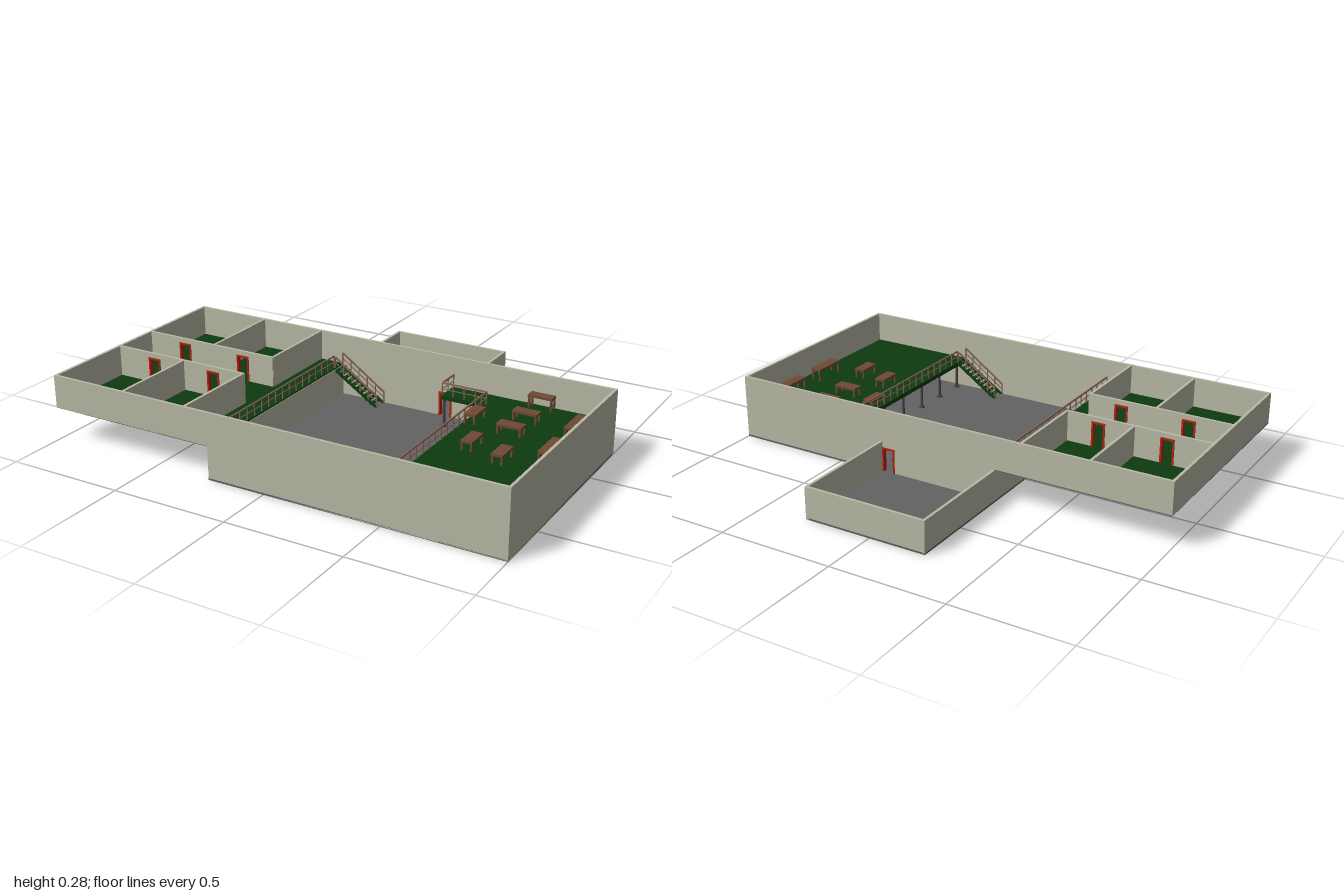
import * as THREE from 'three';

const mat = (name, color) => {
  const m = new THREE.MeshStandardMaterial({ color });
  m.name = name;
  return m;
};

export function createModel() {
  const wallMat = mat('pale plaster', 0xb9b9a6);
  const concrete = mat('grey concrete', 0x636363);
  const green = mat('dark green floor', 0x0d3b0e);
  const wood = mat('brown wood', 0x6f4a33);
  const red = mat('red door frame', 0xb8200f);
  const railMat = mat('rail brown', 0x8a6456);
  const steel = mat('dark steel', 0x48484c);

  const root = new THREE.Group();
  const T = 0.012;   // wall thickness
  const UP = 0.14;   // upper floor level
  const TOP = 0.28;  // wall top

  const group = (name, parent = root) => {
    const g = new THREE.Group();
    g.name = name;
    parent.add(g);
    return g;
  };
  // box given by its minimum and maximum corners
  const box = (name, m, x0, x1, y0, y1, z0, z1, parent = root) => {
    const mesh = new THREE.Mesh(new THREE.BoxGeometry(x1 - x0, y1 - y0, z1 - z0), m);
    mesh.position.set((x0 + x1) / 2, (y0 + y1) / 2, (z0 + z1) / 2);
    mesh.name = name;
    parent.add(mesh);
    return mesh;
  };
  // square bar between two points
  const bar = (name, m, a, b, w, parent) => {
    const p = new THREE.Vector3(...a), q = new THREE.Vector3(...b);
    const mesh = new THREE.Mesh(new THREE.BoxGeometry(w, w, p.distanceTo(q)), m);
    mesh.position.copy(p).add(q).multiplyScalar(0.5);
    mesh.lookAt(q);
    mesh.name = name;
    parent.add(mesh);
  };
  // upright wall along x, cut from an outline
  const outlineWall = (name, pts, z0) => {
    const shape = new THREE.Shape(pts.map(p => new THREE.Vector2(...p)));
    const geo = new THREE.ExtrudeGeometry(shape, { depth: T, bevelEnabled: false });
    const mesh = new THREE.Mesh(geo, wallMat);
    mesh.position.z = z0;
    mesh.name = name;
    root.add(mesh);
  };

  const DW = 0.03, DH = 0.11; // door half width and height
  const notch = (x, y) => [[x - DW, y], [x - DW, y + DH], [x + DW, y + DH], [x + DW, y]];
  const doorFrame = (x, y, z) => {
    const g = group('doorFrame');
    const f = 0.008, d = T / 2 + 0.003;
    for (const s of [-1, 1]) {
      const c = x + s * (DW - f / 2);
      box('doorPost', red, c - f / 2, c + f / 2, y, y + DH, z - d, z + d, g);
    }
    box('doorHead', red, x - DW, x + DW, y + DH - f, y + DH, z - d, z + d, g);
  };

  // floors
  box('hallFloor', concrete, -0.25, 1, 0, 0.008, -0.25, 0.75);
  box('annexFloor', concrete, -0.25, 0.29, 0, 0.008, -0.75, -0.25);
  box('wingSlab', concrete, -1, -0.25, UP, UP + 0.004, -0.25, 0.75);
  box('wingFloor', green, -1 + T, -0.245, UP + 0.004, UP + 0.01, -0.25 + T, 0.75 - T);

  // outer walls
  const doorX = 0.255;
  outlineWall('frontWall', [[-1, UP], [-0.25, UP], [-0.25, 0], [1, 0], [1, TOP], [-1, TOP]], 0.75 - T);
  outlineWall('backWall', [[-1, UP], [-0.25, UP], [-0.25, 0], ...notch(doorX, 0), [1, 0], [1, TOP], [-1, TOP]], -0.25);
  doorFrame(doorX, 0.005, -0.25 + T / 2);
  box('leftWall', wallMat, 1 - T, 1, 0, TOP, -0.25, 0.75);
  box('rightWall', wallMat, -1, -1 + T, UP, TOP, -0.25, 0.75);
  box('hallSideWall', wallMat, -0.25, -0.25 + T / 2, 0, UP + 0.003, -0.25, 0.75);
  box('annexBackWall', wallMat, -0.25, 0.29 + T / 2, 0, UP, -0.75, -0.75 + T);
  box('annexSideWall', wallMat, -0.25, -0.25 + T, 0, UP, -0.75, -0.25);
  box('annexSideWall', wallMat, 0.29 - T / 2, 0.29 + T / 2, 0, UP, -0.75, -0.25);

  // rooms on both sides of the corridor
  for (const z of [0.14, 0.35]) {
    const y = UP + 0.01;
    outlineWall('corridorWall', [[-1, y], ...notch(-0.805, y), ...notch(-0.505, y), [-0.355, y], [-0.355, TOP], [-1, TOP]], z - T / 2);
    for (const x of [-0.805, -0.505]) doorFrame(x, y, z);
  }
  for (const x of [-0.658, -0.36]) {
    box('roomPartition', wallMat, x - T / 2, x + T / 2, UP, TOP - 0.001, -0.25, 0.14);
    box('roomPartition', wallMat, x - T / 2, x + T / 2, UP, TOP - 0.001, 0.35, 0.75);
  }

  // mezzanine and its columns
  const M = UP + 0.008;
  box('mezzanineFloor', green, 0.49, 1 - T, UP - 0.01, M, -0.25 + T, 0.75 - T);
  box('mezzanineBalcony', green, 0.29, 0.49, UP - 0.01, M, -0.25 + T, -0.13);
  const columns = [[0.3, -0.14], [0.52, -0.05], [0.52, 0.1], [0.52, 0.25], [0.52, 0.4], [0.52, 0.55], [0.52, 0.7]];
  for (const [x, z] of columns) {
    const g = group('column');
    const shaft = new THREE.Mesh(new THREE.CylinderGeometry(0.006, 0.006, UP - 0.01, 10), steel);
    shaft.position.set(x, (UP - 0.01) / 2, z);
    shaft.name = 'columnShaft';
    g.add(shaft);
    box('columnBase', steel, x - 0.01, x + 0.01, 0.008, 0.014, z - 0.01, z + 0.01, g);
  }

  // railings: posts, top rail and middle rail between two floor points
  const railing = (name, a, b, h = 0.055) => {
    const g = group(name);
    const p = new THREE.Vector3(...a), q = new THREE.Vector3(...b);
    const n = Math.max(2, Math.round(p.distanceTo(q) / 0.05));
    for (let i = 0; i <= n; i++) {
      const c = p.clone().lerp(q, i / n);
      box('railPost', railMat, c.x - 0.002, c.x + 0.002, c.y, c.y + h, c.z - 0.002, c.z + 0.002, g);
    }
    for (const k of [1, 0.5]) {
      bar('handrail', railMat, [a[0], a[1] + h * k, a[2]], [b[0], b[1] + h * k, b[2]], k === 1 ? 0.006 : 0.003, g);
    }
  };
  railing('wingRailing', [-0.25, M, -0.17], [-0.25, M, 0.735]);
  railing('mezzanineRailing', [0.493, M, -0.133], [0.493, M, 0.665]);
  railing('balconyFrontRailing', [0.293, M, -0.133], [0.493, M, -0.133]);
  railing('balconySideRailing', [0.293, M, -0.235], [0.293, M, -0.133]);

  // open stairs descending along x from xTop to xLow
  const stairs = (xTop, xLow, z0, z1) => {
    const g = group('stairs');
    const n = 11, dx = (xLow - xTop) / n;
    for (let i = 0; i < n; i++) {
      const y = M - (i + 0.5) * (M / n), x = xTop + dx * (i + 0.5), w = Math.abs(dx) * 0.46;
      box('tread', green, x - w, x + w, y - 0.005, y, z0, z1, g);
    }
    for (const z of [z0 + 0.003, z1 - 0.003]) {
      bar('stringer', green, [xTop, M - 0.01, z], [xLow, 0.006, z], 0.009, g);
      railing('stairRailing', [xTop, M, z], [xLow, 0.008, z], 0.05);
    }
  };
  stairs(-0.245, -0.04, -0.237, -0.17);
  stairs(0.49, 0.29, 0.667, 0.737);

  // tables: x0, x1, z0, z1, height
  const tables = [
    [0.645, 0.75, -0.237, -0.195, 0.055], [0.645, 0.75, -0.09, -0.045, 0.042],
    [0.645, 0.75, 0.055, 0.105, 0.042], [0.495, 0.545, -0.02, 0.08, 0.042],
    [0.597, 0.645, 0.212, 0.312, 0.042], [0.745, 0.793, 0.265, 0.362, 0.042],
    [0.895, 0.943, -0.108, 0.036, 0.055], [0.895, 0.943, 0.137, 0.285, 0.055],
  ];
  for (const [x0, x1, z0, z1, h] of tables) {
    const g = group('table');
    box('tableTop', wood, x0, x1, M + h - 0.01, M + h, z0, z1, g);
    for (const x of [x0 + 0.005, x1 - 0.005]) for (const z of [z0 + 0.005, z1 - 0.005]) {
      box('tableLeg', wood, x - 0.004, x + 0.004, M, M + h - 0.01, z - 0.004, z + 0.004, g);
    }
  }
  return root;
}
